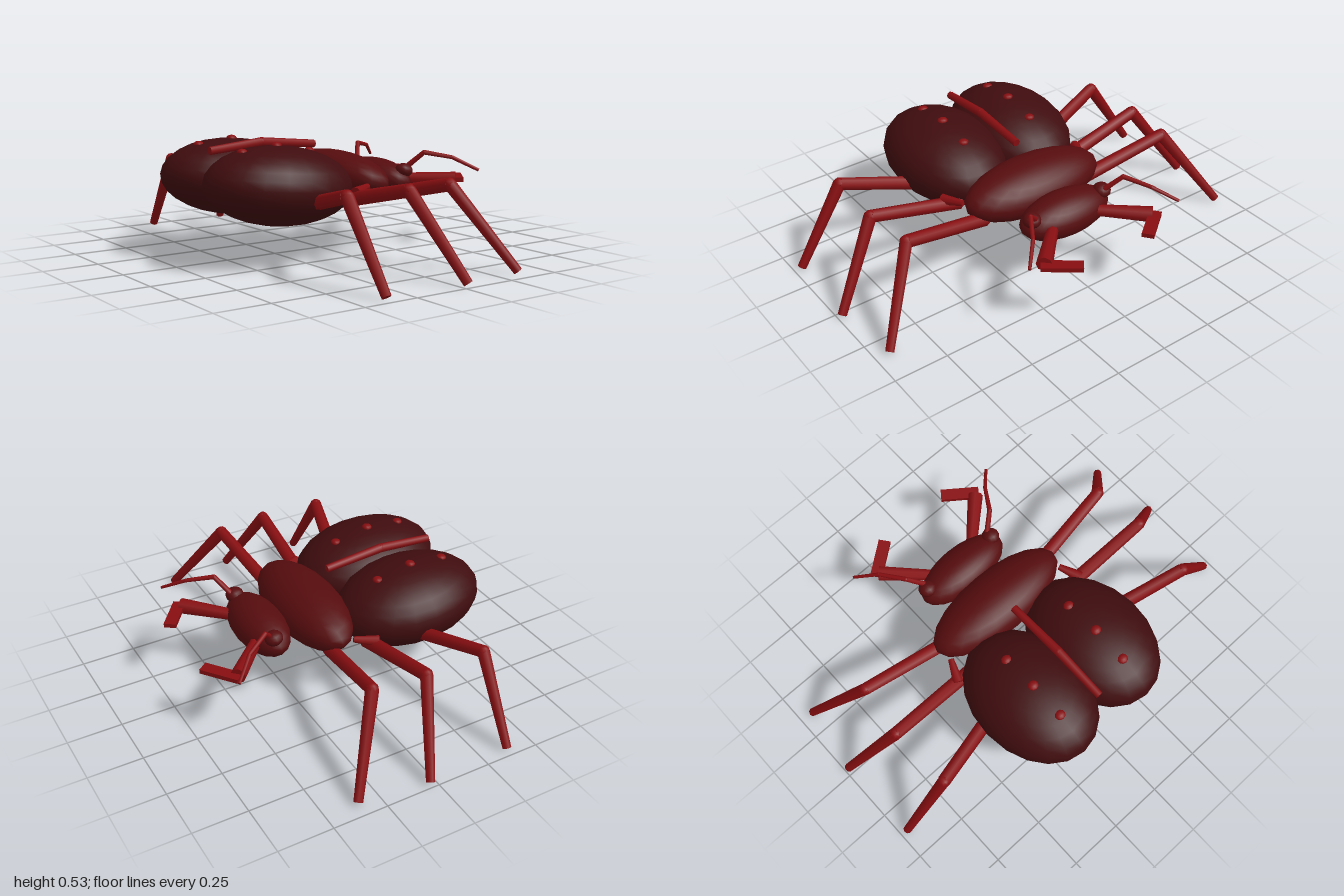
import * as THREE from 'three';

const mat = (name, color) => {
  const m = new THREE.MeshStandardMaterial({ color });
  m.name = name;
  return m;
};

export function createModel() {
  const shell = mat('dark maroon shell', 0x3f0c0e);
  const body = mat('maroon body', 0x560c0e);
  const limb = mat('red limb', 0x870e11);
  const model = new THREE.Group();
  model.name = 'beetle';

  const add = (name, geometry, material, parent = model) => {
    const mesh = new THREE.Mesh(geometry, material);
    mesh.name = name;
    parent.add(mesh);
    return mesh;
  };

  const ellipsoid = (name, pos, radii, material, tilt = 0, segs = 20) => {
    const mesh = add(name, new THREE.SphereGeometry(1, segs, Math.round(segs * 0.7)), material);
    mesh.position.set(...pos);
    mesh.scale.set(...radii);
    mesh.rotation.z = tilt;
    return mesh;
  };

  // Tapered rod between two points
  const rod = (name, a, b, r1, r2, parent, sides = 8) => {
    const p = new THREE.Vector3(...a), q = new THREE.Vector3(...b);
    const dir = q.clone().sub(p);
    const mesh = add(name, new THREE.CylinderGeometry(r2, r1, dir.length(), sides), limb, parent);
    mesh.position.copy(p).add(q).multiplyScalar(0.5);
    mesh.quaternion.setFromUnitVectors(new THREE.Vector3(0, 1, 0), dir.normalize());
    return mesh;
  };

  // Chain of rods with rounded joints
  const chain = (name, points, radii, parent) => {
    const group = new THREE.Group();
    group.name = name;
    parent.add(group);
    for (let i = 0; i < points.length - 1; i++) {
      rod(name + 'Segment', points[i], points[i + 1], radii[i], radii[i + 1], group);
      if (i > 0) {
        add(name + 'Joint', new THREE.SphereGeometry(radii[i], 8, 6), limb, group)
          .position.set(...points[i]);
      }
    }
  };

  // Thorax and head, pitched slightly forward
  ellipsoid('thorax', [0.085, 0.335, 0], [0.155, 0.117, 0.36], body, -0.25);
  ellipsoid('head', [0.32, 0.307, 0], [0.113, 0.093, 0.235], body, -0.25);

  // Raised seam between the wing cases
  chain('wingSeam', [[-0.58, 0.49, 0], [-0.32, 0.513, 0], [-0.035, 0.488, 0]],
    [0.018, 0.021, 0.018], model);

  for (const s of [1, -1]) {
    const side = s > 0 ? 'right' : 'left';
    const group = new THREE.Group();
    group.name = side + 'Limbs';
    model.add(group);
    const m = ([x, y, z]) => [x, y, z * s];

    // Wing case with three spots
    ellipsoid(side + 'WingCase', [-0.35, 0.343, 0.19 * s], [0.35, 0.174, 0.26], shell, -0.08);
    [[-0.53, 0.499], [-0.36, 0.517], [-0.19, 0.484]].forEach(([x, y]) =>
      ellipsoid(side + 'Spot', [x, y, 0.187 * s], [0.023, 0.015, 0.025], limb, 0, 10));
    ellipsoid(side + 'Eye', [0.34, 0.358, 0.195 * s], [0.042, 0.032, 0.042], body, -0.2, 12);

    // Three legs: hip, knee, foot
    const legs = {
      FrontLeg: [[0.11, 0.27, 0.28], [0.16, 0.368, 0.715], [0.35, 0.013, 0.935]],
      MiddleLeg: [[-0.065, 0.27, 0.3], [-0.085, 0.368, 0.745], [0.03, 0.013, 0.98]],
      RearLeg: [[-0.275, 0.275, 0.33], [-0.385, 0.368, 0.73], [-0.372, 0.013, 0.965]],
    };
    for (const [name, pts] of Object.entries(legs)) {
      chain(side + name, pts.map(m), [0.033, 0.029, 0.02], group);
    }
    rod(side + 'MiddleHip', m([0.02, 0.325, 0.335]), m([-0.08, 0.31, 0.38]), 0.014, 0.026, group);

    // Mandible: thick arm plus a flat blade turned inward
    rod(side + 'MandibleArm', m([0.39, 0.308, 0.12]), m([0.565, 0.308, 0.3]), 0.026, 0.036, group);
    const blade = add(side + 'MandibleBlade', new THREE.BoxGeometry(0.18, 0.02, 0.055), limb, group);
    blade.position.set(0.618, 0.308, 0.248 * s);
    blade.rotation.y = s * 0.92;

    // Bent antenna
    chain(side + 'Antenna',
      [[0.35, 0.36, 0.18], [0.41, 0.442, 0.255], [0.52, 0.418, 0.325], [0.61, 0.36, 0.41]].map(m),
      [0.013, 0.011, 0.009, 0.007], group);
  }
  return model;
}
